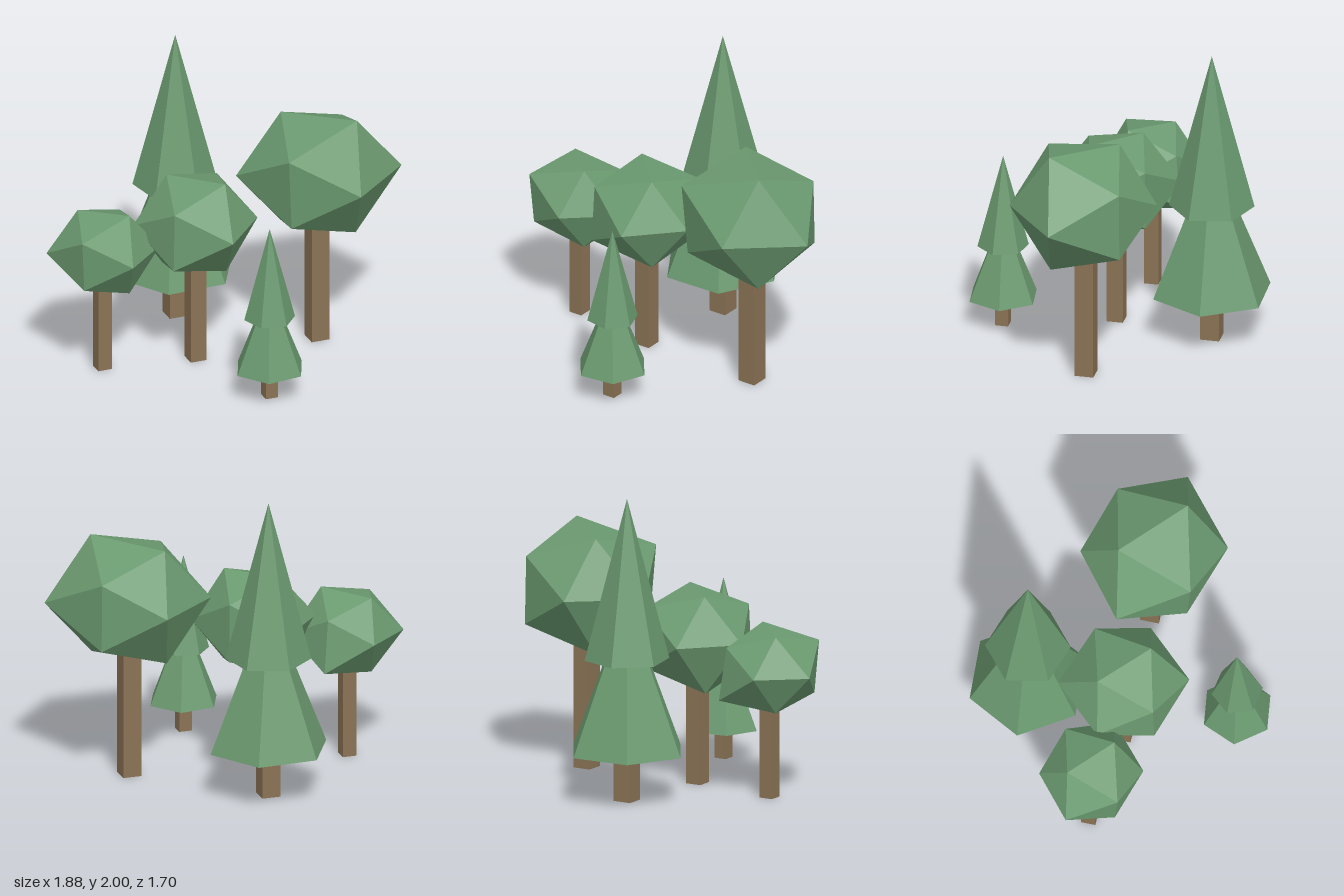
import * as THREE from 'three';
import { ConvexGeometry } from 'three/addons/geometries/ConvexGeometry.js';

const T = (1 + Math.sqrt(5)) / 2;
const SQUASH = 0.9;

// The twelve corner directions of an icosahedron with an edge on top
const CORNERS = [
  [-1, T, 0], [1, T, 0], [-1, -T, 0], [1, -T, 0],
  [0, -1, T], [0, 1, T], [0, -1, -T], [0, 1, -T],
  [T, 0, -1], [T, 0, 1], [-T, 0, -1], [-T, 0, 1],
];

// Round trees: crown centre, trunk radius, and how far each corner is pushed out
const ROUND_TREES = [
  { name: 'largeRoundTree', at: [0.47, 1.195, -0.44], trunk: 0.088,
    push: [0.256, 0.28, 0.27, 0.27, 0.26, 0.285, 0.253, 0.248, 0.29, 0.26, 0.242, 0.279] },
  { name: 'mediumRoundTree', at: [-0.13, 0.98, 0.156], trunk: 0.077,
    push: [0.204, 0.209, 0.232, 0.216, 0.222, 0.211, 0.219, 0.215, 0.213, 0.222, 0.225, 0.215] },
  { name: 'smallRoundTree', at: [-0.63, 0.844, 0.518], trunk: 0.067,
    push: [0.173, 0.19, 0.172, 0.191, 0.184, 0.203, 0.208, 0.177, 0.198, 0.182, 0.172, 0.192] },
];

// Pines: each tier is [radius, base height, tip height, turn in degrees]
const PINES = [
  { name: 'tallPine', at: [-0.51, -0.4], trunk: 0.088,
    tiers: [[0.4, 0.325, 1.33, 17], [0.277, 0.935, 2, -4.5]] },
  { name: 'smallPine', at: [0.53, 0.482], trunk: 0.06,
    tiers: [[0.237, 0.196, 0.79, 22], [0.167, 0.557, 1.195, 4]] },
];

export function createModel() {
  const leaf = new THREE.MeshStandardMaterial({ color: 0x6b9a70, flatShading: true });
  leaf.name = 'leaf green';
  const bark = new THREE.MeshStandardMaterial({ color: 0x8b7355, flatShading: true });
  bark.name = 'bark brown';

  const model = new THREE.Group();
  model.name = 'trees';

  const add = (parent, name, geometry, material, y) => {
    const mesh = new THREE.Mesh(geometry, material);
    mesh.name = name;
    mesh.position.y = y;
    parent.add(mesh);
    return mesh;
  };

  const startTree = (name, x, z, trunkRadius, trunkHeight) => {
    const tree = new THREE.Group();
    tree.name = name;
    tree.position.set(x, 0, z);
    model.add(tree);
    // Four-sided trunk, standing corner to the front
    add(tree, 'trunk', new THREE.CylinderGeometry(trunkRadius, trunkRadius, trunkHeight, 4), bark, trunkHeight / 2);
    return tree;
  };

  for (const { name, at: [x, y, z], trunk, push } of ROUND_TREES) {
    const tree = startTree(name, x, z, trunk, y - 0.15);
    const points = CORNERS.map(([a, b, c], i) => new THREE.Vector3(a, b * SQUASH, c).multiplyScalar(push[i]));
    add(tree, 'crown', new ConvexGeometry(points), leaf, y);
  }

  for (const { name, at: [x, z], trunk, tiers } of PINES) {
    const tree = startTree(name, x, z, trunk, tiers[0][1] + 0.1);
    tiers.forEach(([radius, base, tip, turn], i) => {
      const cone = new THREE.ConeGeometry(radius, tip - base, 6);
      const tier = add(tree, i ? 'upperBranches' : 'lowerBranches', cone, leaf, (base + tip) / 2);
      tier.rotation.y = THREE.MathUtils.degToRad(turn);
    });
  }

  return model;
}
